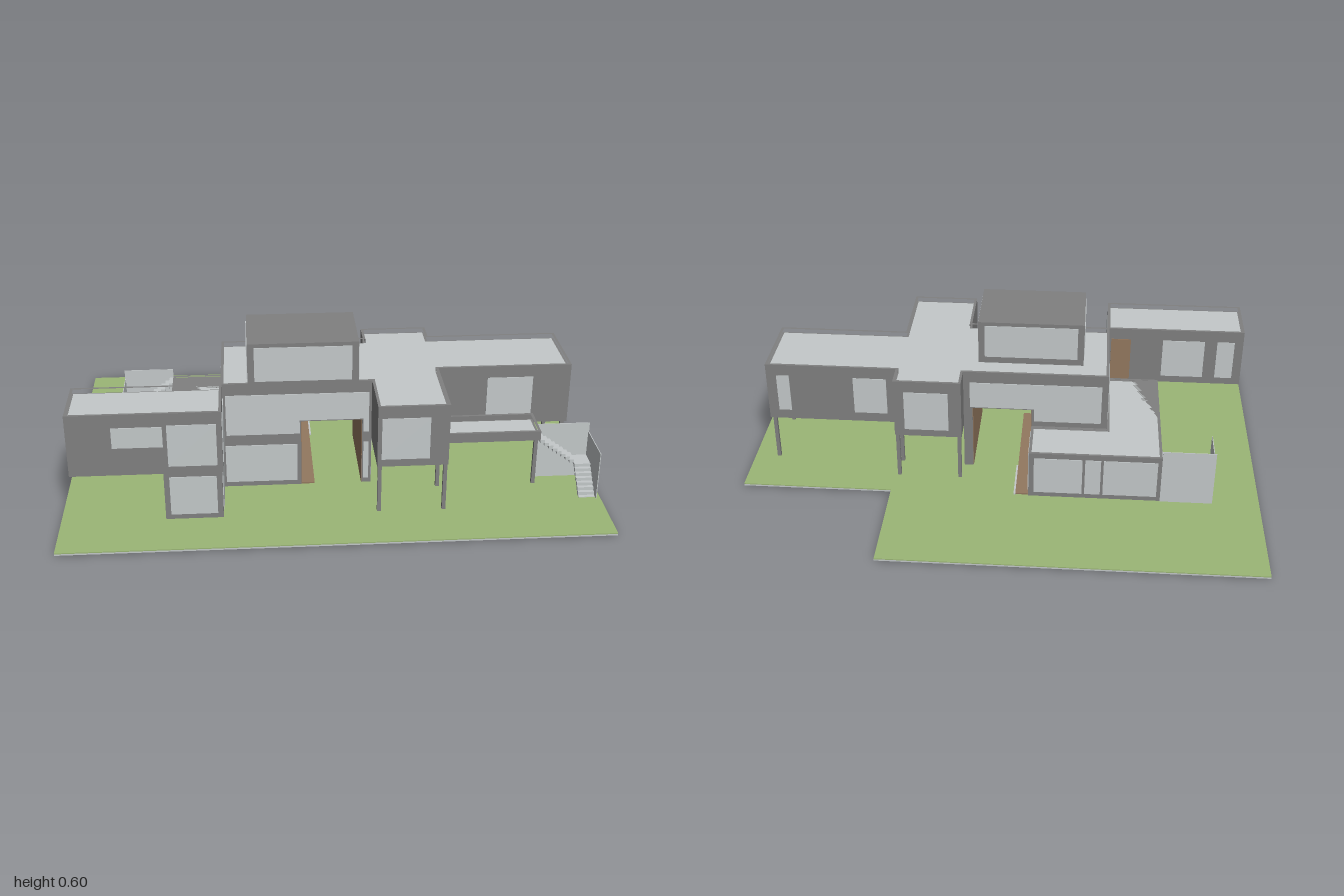
import * as THREE from 'three';

const mat = (name, color) => {
  const m = new THREE.MeshStandardMaterial({ color });
  m.name = name;
  return m;
};

export function createModel() {
  const house = new THREE.Group();
  house.name = 'house';
  const wall = mat('wall grey', 0x808080);
  const light = mat('light grey', 0xc4c9ca);
  const grass = mat('grass green', 0x9bb676);
  const wood = mat('wood brown', 0x93785f);

  const add = (name, geometry, material, parent = house) => {
    const mesh = new THREE.Mesh(geometry, material);
    mesh.name = name;
    parent.add(mesh);
    return mesh;
  };
  // Box given by its extents
  const box = (name, material, x0, x1, y0, y1, z0, z1, parent) => {
    const g = new THREE.BoxGeometry(x1 - x0, y1 - y0, z1 - z0);
    g.translate((x0 + x1) / 2, (y0 + y1) / 2, (z0 + z1) / 2);
    return add(name, g, material, parent);
  };
  // Upright prism over a plan outline of [x, z] points
  const prism = (name, material, plan, y0, y1, hole) => {
    const path = pts => pts.map(([x, z]) => new THREE.Vector2(x, -z));
    const shape = new THREE.Shape(path(plan));
    if (hole) shape.holes.push(new THREE.Path(path(hole)));
    const g = new THREE.ExtrudeGeometry(shape, { depth: y1 - y0, bevelEnabled: false });
    g.rotateX(-Math.PI / 2).translate(0, y0, 0);
    return add(name, g, material);
  };
  // Shrinks a right-angled outline by d
  const inset = (plan, d) => {
    const n = plan.length;
    const s = Math.sign(THREE.ShapeUtils.area(plan.map(([x, z]) => new THREE.Vector2(x, z))));
    const normal = (a, b) => {
      const l = Math.hypot(b[0] - a[0], b[1] - a[1]);
      return [-s * (b[1] - a[1]) / l, s * (b[0] - a[0]) / l];
    };
    return plan.map((p, i) => {
      const u = normal(plan[(i + n - 1) % n], p);
      const v = normal(p, plan[(i + 1) % n]);
      return [p[0] + d * (u[0] + v[0]), p[1] + d * (u[1] + v[1])];
    });
  };
  // Flat roof with a raised rim
  const rimmedRoof = (name, plan, y, rim) => {
    const inner = inset(plan, 0.01);
    prism(name + 'Parapet', wall, plan, y, y + rim, inner);
    prism(name + 'Roof', light, inner, y - 0.004, y + 0.003);
  };
  const rect = (x0, x1, z0, z1) => [[x0, z0], [x1, z0], [x1, z1], [x0, z1]];

  // Lawn
  const lot = [[-1, -0.71], [0.42, -0.71], [0.42, -0.29], [1, -0.29], [1, 0.71], [-1, 0.71]];
  prism('groundSlab', light, lot, 0, 0.006);
  prism('lawn', grass, lot, 0.006, 0.01);

  // Ground floor and its roof terrace
  prism('groundFloor', wall, [[-0.62, -0.29], [-0.115, -0.29], [-0.115, 0.29],
    [-0.41, 0.29], [-0.41, 0.51], [-0.62, 0.51]], 0.01, 0.2);
  box('eastGroundRoom', wall, 0.115, 0.15, 0.01, 0.2, -0.1, 0.29);
  rimmedRoof('terrace', [[-0.62, -0.29], [-0.115, -0.29], [-0.115, -0.1],
    [-0.41, -0.1], [-0.41, 0.285], [-0.62, 0.285]], 0.197, 0.01);

  // West wing
  const wing = rect(-0.955, -0.405, 0.285, 0.51);
  prism('westWing', wall, wing, 0.2, 0.42);
  rimmedRoof('westWing', wing, 0.42, 0.022);

  // Upper floor, open below between x = -0.115 and 0.115
  const east = [[0.15, -0.1], [0.15, -0.19], [0.41, -0.19], [0.41, -0.1], [0.92, -0.1],
    [0.92, 0.2], [0.41, 0.2], [0.41, 0.51], [0.15, 0.51], [0.15, 0.29]];
  const upper = [[-0.41, -0.1], ...east, [-0.41, 0.29]];
  prism('upperFloorWestBase', wall, rect(-0.41, -0.115, -0.1, 0.29), 0.2, 0.28);
  prism('upperFloorEastBase', wall, [[0.115, -0.1], ...east, [0.115, 0.29]], 0.2, 0.28);
  prism('upperFloor', wall, upper, 0.28, 0.42);
  rimmedRoof('upperFloor', upper, 0.42, 0.022);

  // Passage lining and deck
  for (const s of [-1, 1]) {
    const x = s * 0.115;
    box('passageWall', wood, x - 0.002, x + 0.002, 0.011, 0.279, -0.098, 0.288);
  }
  box('entryDeck', wood, -0.115, -0.065, 0.01, 0.016, -0.285, 0.288);
  box('deckEdge', light, -0.065, -0.058, 0.01, 0.017, -0.29, -0.1);

  // Penthouse
  box('penthouse', wall, -0.31, 0.1, 0.42, 0.6, 0.01, 0.29);

  // Balcony
  const balcony = rect(0.41, 0.785, 0.2, 0.35);
  prism('balconyFloor', wall, balcony, 0.2, 0.212);
  rimmedRoof('balcony', balcony, 0.212, 0.026);

  // Posts
  for (const [x, z] of [[0.16, 0.5], [0.4, 0.5], [0.4, 0.335], [0.77, 0.335], [0.905, 0.185],
    [0.905, -0.085], [0.4, -0.18], [0.16, -0.18], [0.4, -0.085]]) {
    box('post', wall, x - 0.007, x + 0.007, 0.01, 0.2, z - 0.007, z + 0.007);
  }

  // Window plates: plane z or x, then span and heights
  const windows = new THREE.Group();
  windows.name = 'windows';
  house.add(windows);
  const paneZ = (z, x0, x1, y0, y1, m = light) =>
    box('window', m, x0, x1, y0, y1, z - 0.003, z + 0.003, windows);
  const paneX = (x, z0, z1, y0, y1, m = light) =>
    box('window', m, x - 0.003, x + 0.003, y0, y1, z0, z1, windows);

  // Front windows
  paneZ(0.51, -0.795, -0.615, 0.31, 0.39);
  paneZ(0.51, -0.6, -0.425, 0.23, 0.395);
  paneZ(0.51, -0.6, -0.43, 0.03, 0.185);
  paneZ(0.29, -0.4, -0.13, 0.03, 0.185);
  paneZ(0.29, 0.12, 0.14, 0.03, 0.185);
  paneZ(0.29, -0.395, 0.14, 0.285, 0.395);
  paneZ(0.29, -0.395, -0.12, 0.23, 0.285);
  paneZ(0.29, 0.12, 0.14, 0.23, 0.285);
  paneZ(0.51, 0.165, 0.34, 0.23, 0.395);
  paneZ(0.2, 0.6, 0.775, 0.24, 0.395);
  paneZ(0.29, -0.285, 0.075, 0.45, 0.585);
  // East windows
  paneX(0.1, 0.16, 0.275, 0.45, 0.585);
  paneX(0.1, 0.045, 0.14, 0.445, 0.585);
  paneX(0.92, -0.07, 0.11, 0.23, 0.395);
  paneX(0.15, 0.2, 0.27, 0.03, 0.19);
  paneX(0.15, 0.065, 0.13, 0.03, 0.19);
  paneX(0.15, -0.045, 0.04, 0.03, 0.19);
  paneX(-0.115, -0.165, -0.11, 0.03, 0.19);
  paneX(-0.115, -0.28, -0.18, 0.03, 0.19);
  paneX(-0.405, 0.31, 0.49, 0.23, 0.395);
  paneX(-0.41, 0.31, 0.49, 0.03, 0.185);
  // Back windows
  paneZ(-0.1, -0.385, 0.125, 0.285, 0.395);
  paneZ(-0.1, -0.385, -0.125, 0.23, 0.285);
  paneZ(0.01, -0.285, 0.075, 0.45, 0.585);
  paneZ(-0.19, 0.2, 0.37, 0.23, 0.395);
  paneZ(-0.1, 0.45, 0.58, 0.24, 0.395);
  paneZ(-0.1, 0.83, 0.88, 0.24, 0.395);
  paneZ(0.285, -0.8, -0.63, 0.23, 0.395);
  paneZ(0.285, -0.92, -0.85, 0.23, 0.395);
  paneZ(0.285, -0.5, -0.42, 0.21, 0.395, wood);
  paneZ(-0.29, -0.32, -0.135, 0.03, 0.185);
  paneZ(-0.29, -0.39, -0.33, 0.03, 0.185);
  paneZ(-0.29, -0.605, -0.4, 0.03, 0.185);
  // West windows
  paneX(-0.41, -0.07, 0.12, 0.23, 0.395);
  paneX(-0.31, 0.035, 0.265, 0.45, 0.585);

  // Two-flight stair: out along +x, then down towards +z
  const stair = (name, x, z, mirror) => {
    const g = new THREE.Group();
    g.name = name;
    const b = (n, m, x0, x1, ...r) => mirror ? box(n, m, -x1, -x0, ...r, g) : box(n, m, x0, x1, ...r, g);
    const steps = 8;
    for (let i = 0; i < steps; i++) {
      const y = 0.2 - i * 0.0125, a = i * 0.135 / steps, c = 0.06 + i * 0.11 / steps;
      b('upperStep', light, a, a + 0.135 / steps, y - 0.014, y, 0.002, 0.06);
      b('lowerStep', light, 0.135, 0.196, y - 0.115, y - 0.1, c, c + 0.11 / steps);
    }
    b('landing', light, 0.135, 0.2, 0.09, 0.1, 0, 0.06);
    b('backPanel', light, 0, 0.2, 0.01, 0.238, 0, 0.003);
    b('sidePanel', light, 0.197, 0.2, 0.01, 0.2, 0.003, 0.18);
    g.position.set(x, 0, z);
    house.add(g);
  };
  stair('balconyStair', 0.785, 0.29, false);
  stair('terraceStair', -0.62, -0.293, true);

  return house;
}
